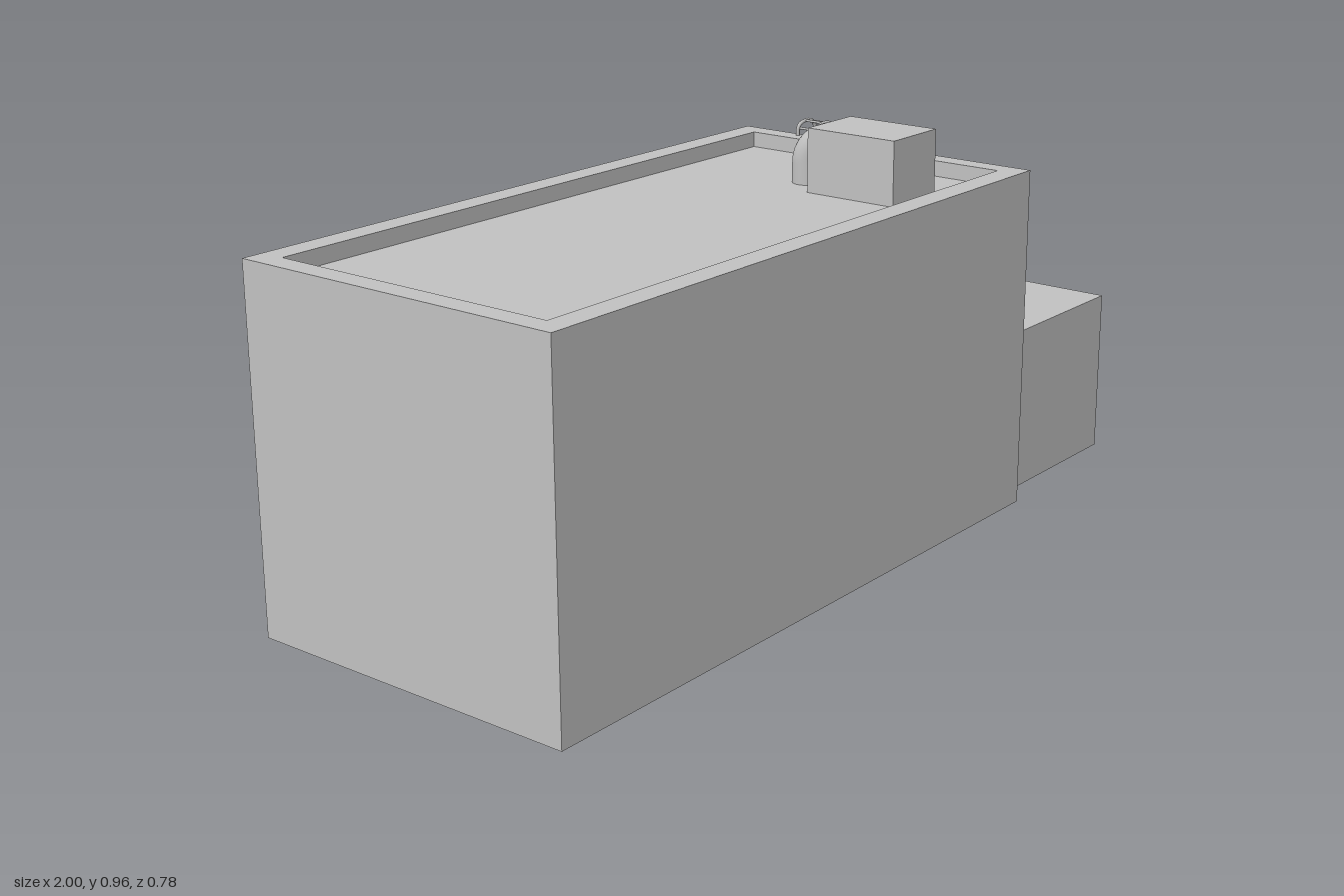
import * as THREE from 'three';

const concrete = new THREE.MeshStandardMaterial({ color: 0xc0c0c0 });
concrete.name = 'concrete grey';

const V = (x, y, z) => new THREE.Vector3(x, y, z);

function add(parent, name, geometry) {
  const mesh = new THREE.Mesh(geometry, concrete);
  mesh.name = name;
  parent.add(mesh);
  return mesh;
}

// Box given by its limits on each axis
function block(parent, name, [x0, x1], [y0, y1], [z0, z1]) {
  add(parent, name, new THREE.BoxGeometry(x1 - x0, y1 - y0, z1 - z0))
    .position.set((x0 + x1) / 2, (y0 + y1) / 2, (z0 + z1) / 2);
}

function outline(Type, x0, x1, y0, y1) {
  return new Type([[x0, y0], [x1, y0], [x1, y1], [x0, y1]].map(p => new THREE.Vector2(...p)));
}

// Rectangular slab pierced by rectangular openings
function pierced(rect, holes, depth) {
  const shape = outline(THREE.Shape, ...rect);
  shape.holes = holes.map(h => outline(THREE.Path, ...h));
  return new THREE.ExtrudeGeometry(shape, { depth, bevelEnabled: false });
}

function tube(parent, name, curve, segments, radius, sides) {
  return add(parent, name, new THREE.TubeGeometry(curve, segments, radius, sides));
}

function makeBuilding() {
  const g = new THREE.Group();
  g.name = 'mainBuilding';
  block(g, 'mainBody', [-1, 0.55], [0.08, 0.82], [-0.355, 0.39]);

  // Rear wall with two rows of recessed windows
  const windows = [];
  for (let i = 0; i < 3; i++) {
    const x1 = 0.29 - 0.413 * i;
    windows.push([x1 - 0.203, x1, 0.457, 0.777], [x1 - 0.203, x1, 0.158, 0.403]);
  }
  add(g, 'windowWall', pierced([-1, 0.55, 0.08, 0.82], windows, 0.035)).position.z = -0.39;

  // Raised rim around the roof
  const rim = pierced([-1, 0.55, -0.39, 0.39], [[-0.95, 0.503, -0.335, 0.335]], 0.035);
  rim.rotateX(-Math.PI / 2);
  add(g, 'roofParapet', rim).position.y = 0.82;
  return g;
}

function makeAnnex() {
  const g = new THREE.Group();
  g.name = 'sideAnnex';
  block(g, 'annexBody', [0.55, 1], [0.08, 0.46], [0.055, 0.34]);
  add(g, 'doorWall', pierced([0.55, 1, 0.08, 0.46], [[0.636, 0.886, 0.09, 0.4]], 0.04)).position.z = 0.015;
  return g;
}

function makeVentUnit() {
  const g = new THREE.Group();
  g.name = 'roofVentUnit';
  block(g, 'ventBox', [0.2, 0.36], [0.82, 0.962], [0.042, 0.265]);

  // Round fan opening on the side
  const ringShape = new THREE.Shape().absarc(0, 0, 0.062, 0, Math.PI * 2);
  ringShape.holes.push(new THREE.Path().absarc(0, 0, 0.05, 0, Math.PI * 2));
  const ring = new THREE.ExtrudeGeometry(ringShape, { depth: 0.01, bevelEnabled: false, curveSegments: 32 });
  ring.rotateY(Math.PI / 2);
  add(g, 'fanRing', ring).position.set(0.36, 0.89, 0.148);
  const plate = new THREE.CylinderGeometry(0.051, 0.051, 0.003, 32);
  plate.rotateZ(Math.PI / 2);
  add(g, 'fanPlate', plate).position.set(0.361, 0.89, 0.148);

  // Elbow duct running into the roof
  const path = new THREE.CurvePath();
  const a = V(0.312, 0.922, 0.06), b = V(0.304, 0.922, 0.038);
  const c = V(0.282, 0.868, -0.016), d = V(0.282, 0.818, -0.016);
  path.add(new THREE.LineCurve3(a, b));
  path.add(new THREE.CubicBezierCurve3(b, V(0.292, 0.922, 0.008), V(0.282, 0.898, -0.016), c));
  path.add(new THREE.LineCurve3(c, d));
  tube(g, 'elbowDuct', path, 24, 0.035, 20);
  return g;
}

function makeLadder() {
  const g = new THREE.Group();
  g.name = 'ladder';
  const xOut = 0.604, xIn = 0.536, z0 = -0.205, half = 0.026, r = 0.0045;
  const rung = (x, y) => {
    const geo = new THREE.CylinderGeometry(0.003, 0.003, half * 2, 8);
    geo.rotateX(Math.PI / 2);
    add(g, 'rung', geo).position.set(x, y, z0);
  };

  // Upright rails hooked over the parapet
  for (const z of [z0 - half, z0 + half]) {
    const path = new THREE.CurvePath();
    const p = [V(xOut, 0, z), V(xOut, 0.86, z), V(0.57, 0.886, z), V(xIn, 0.868, z), V(xIn, 0.853, z)];
    path.add(new THREE.LineCurve3(p[0], p[1]));
    path.add(new THREE.CubicBezierCurve3(p[1], V(xOut, 0.877, z), V(0.592, 0.886, z), p[2]));
    path.add(new THREE.CubicBezierCurve3(p[2], V(0.55, 0.886, z), V(xIn, 0.88, z), p[3]));
    path.add(new THREE.LineCurve3(p[3], p[4]));
    tube(g, 'rail', path, 120, r, 8);
    const foot = new THREE.CircleGeometry(r, 8);
    foot.rotateX(Math.PI / 2);
    add(g, 'railFoot', foot).position.set(xOut, 0, z);
  }
  for (let i = 0; i < 17; i++) rung(xOut, 0.03 + 0.0506 * i);
  rung(0.59, 0.881);
  rung(0.565, 0.886);
  rung(0.54, 0.872);
  return g;
}

export function createModel() {
  const model = new THREE.Group();
  model.name = 'building';
  model.add(makeBuilding(), makeAnnex(), makeVentUnit(), makeLadder());
  return model;
}
